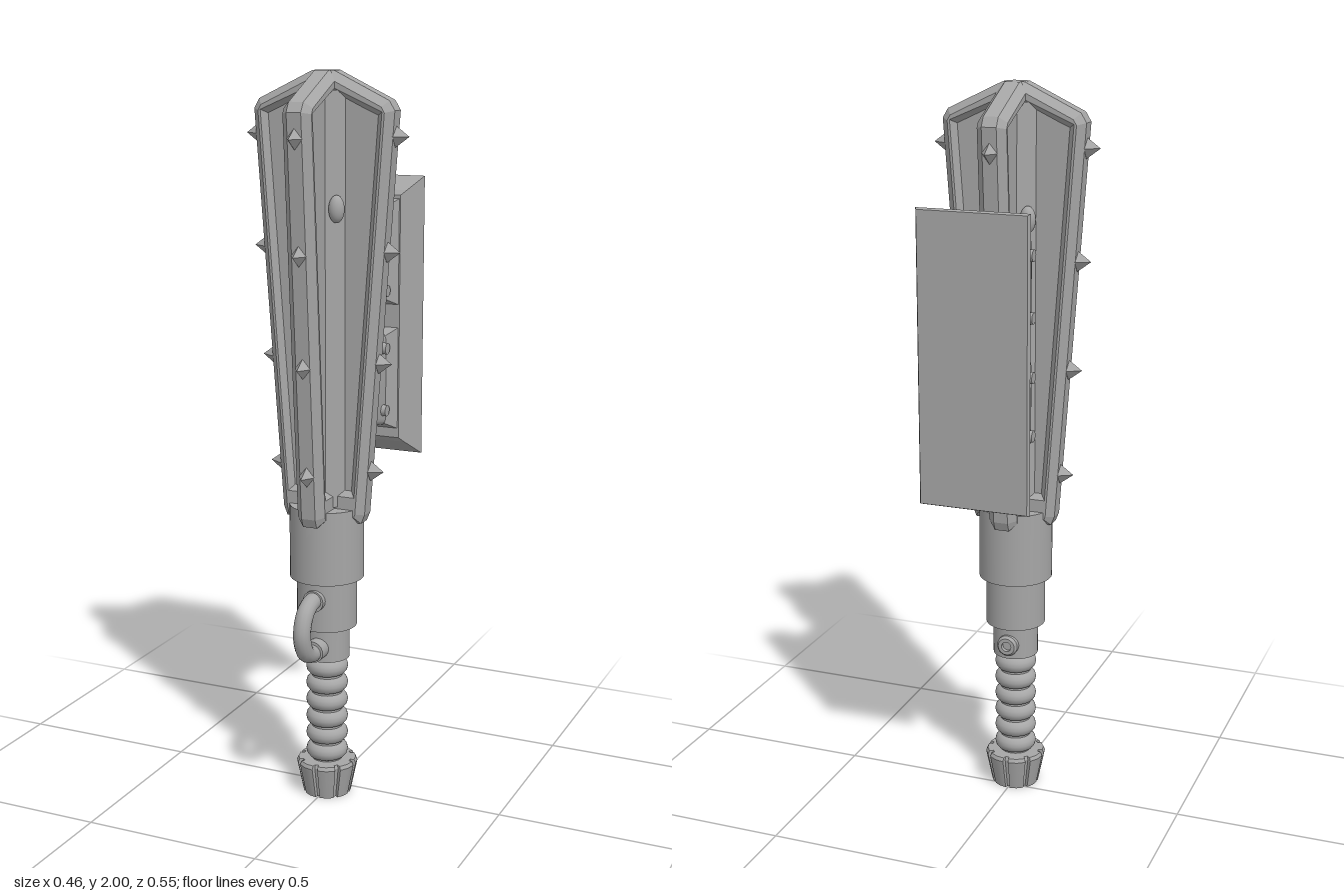
import * as THREE from 'three';
import { ConvexGeometry } from 'three/addons/geometries/ConvexGeometry.js';
import { toCreasedNormals } from 'three/addons/utils/BufferGeometryUtils.js';

const AXIS_Z = 0.043; // z of the shaft axis
const steel = new THREE.MeshStandardMaterial({ color: 0xa6a6a6 });
steel.name = 'steel grey';

function add(parent, name, geometry, x = 0, y = 0, z = 0) {
  const mesh = new THREE.Mesh(geometry, steel);
  mesh.name = name;
  mesh.position.set(x, y, z);
  parent.add(mesh);
  return mesh;
}

const points = (list) => list.map(([x, y]) => new THREE.Vector2(x, y));
const mirrored = (half) => [...half, ...half.slice().reverse().map(([x, y]) => [-x, y])];

// Cylinder between two heights
function drum(parent, name, r, y0, y1, rTop = r) {
  return add(parent, name, new THREE.CylinderGeometry(rTop, r, y1 - y0, 40), 0, (y0 + y1) / 2, 0);
}

// Solid spanned by rectangles [halfWidth, yLow, yHigh, z]
function hull(rects) {
  const pts = [];
  for (const [w, y0, y1, z] of rects)
    for (const x of [-w, w]) for (const y of [y0, y1]) pts.push(new THREE.Vector3(x, y, z));
  return new ConvexGeometry(pts);
}

// Outer radius of the flanges at height y
const flangeRadius = (y) => 0.12 + 0.072 * (y - 0.83);

function buildHead(shaft) {
  // Bevelled frame shared by two opposite flanges
  const frame = new THREE.Shape(points(mirrored([
    [0.11, 0.805], [0.12, 0.83], [0.198, 1.9], [0.183, 1.925], [0.03, 1.998],
  ])));
  const opening = [[0.05, 0.9], [0.079, 0.9], [0.15, 1.885], [0.05, 1.932]];
  for (const s of [1, -1])
    frame.holes.push(new THREE.Path(points(opening.map(([x, y]) => [s * x, y]))));
  const frameGeo = new THREE.ExtrudeGeometry(frame, {
    depth: 0.04, bevelEnabled: true, bevelThickness: 0.02, bevelSize: 0.02, bevelOffset: -0.02, bevelSegments: 1,
  }).translate(0, 0, -0.02);

  // Recessed panel inside the frame
  const panel = new THREE.Shape(points(mirrored([[0.1, 0.85], [0.17, 1.895], [0.03, 1.96]])));
  const panelGeo = new THREE.ExtrudeGeometry(panel, { depth: 0.05, bevelEnabled: false }).translate(0, 0, -0.025);

  for (const turn of [0, Math.PI / 2]) {
    add(shaft, 'flangeFrame', frameGeo).rotation.y = turn;
    add(shaft, 'flangePanel', panelGeo).rotation.y = turn;
  }

  // Square core seen as a chamfer between flanges
  add(shaft, 'headCore', new THREE.BoxGeometry(0.126, 1.1, 0.126), 0, 1.4, 0).rotation.y = Math.PI / 4;

  // Studs down the edge of every flange
  const spike = new THREE.OctahedronGeometry(1).scale(0.038, 0.028, 0.022);
  for (let i = 0; i < 4; i++) {
    const a = (i * Math.PI) / 2;
    for (const y of [0.95, 1.245, 1.54, 1.835]) {
      const r = flangeRadius(y);
      add(shaft, 'spike', spike, r * Math.cos(a), y, -r * Math.sin(a)).rotation.y = a;
    }
  }

  // Oval beads in the corners between flanges
  const bead = new THREE.SphereGeometry(1, 20, 14).scale(0.021, 0.036, 0.021);
  for (const sx of [1, -1]) for (const sz of [1, -1])
    add(shaft, 'bead', bead, sx * 0.051, sx === sz ? 1.65 : 1.325, sz * 0.051);
}

function buildHandle(shaft) {
  drum(shaft, 'upperSleeve', 0.102, 0.64, 0.845);
  drum(shaft, 'lowerSleeve', 0.083, 0.5, 0.64);
  drum(shaft, 'neck', 0.043, 0.08, 0.51);
  drum(shaft, 'handleCollar', 0.063, 0.405, 0.494);

  // Ribbed grip
  const ring = new THREE.TorusGeometry(0.034, 0.0245, 14, 36).rotateX(Math.PI / 2);
  for (let i = 0; i < 6; i++) add(shaft, 'gripRing', ring, 0, 0.126 + i * 0.05, 0);

  // Hose loop with end collars
  const path = new THREE.CatmullRomCurve3([
    [0.6 - 0.01, 0.05], [0.59, 0.11], [0.568, 0.145], [0.515, 0.163], [0.465, 0.145], [0.445, 0.11], [0.445, 0.03],
  ].map(([y, z]) => new THREE.Vector3(0, y, z)));
  add(shaft, 'hoseLoop', new THREE.TubeGeometry(path, 40, 0.024, 14));
  const collar = new THREE.CylinderGeometry(0.03, 0.03, 0.05, 20).rotateX(Math.PI / 2);
  add(shaft, 'hoseCollar', collar, 0, 0.59, 0.068);
  add(shaft, 'hoseCollar', collar, 0, 0.445, 0.07);

  // Button behind the collar
  const button = new THREE.LatheGeometry(
    points([[0, 0.066], [0.014, 0.066], [0.014, 0.078], [0.024, 0.078], [0.03, 0.07], [0.03, 0.03]]).reverse(), 24);
  add(shaft, 'rearButton', toCreasedNormals(button.rotateX(-Math.PI / 2), 0.5), 0, 0.447, 0);

  // Tapered, grooved pommel, open underneath
  const outline = [];
  const ribs = 8;
  for (let i = 0; i < ribs; i++) {
    const a = ((i + 0.5) * Math.PI * 2) / ribs;
    for (const [da, r] of [[-0.39, 0.073], [-0.32, 0.073], [-0.3, 0.085], [0, 0.086], [0.3, 0.085], [0.32, 0.073]])
      outline.push([r * Math.cos(a + da), r * Math.sin(a + da)]);
  }
  const gear = new THREE.Shape(points(outline));
  gear.holes.push(new THREE.Path().absarc(0, 0, 0.045, 0, Math.PI * 2, true));
  const pommel = new THREE.ExtrudeGeometry(gear, { depth: 0.1, steps: 10, bevelEnabled: false }).rotateX(-Math.PI / 2);
  const p = pommel.attributes.position;
  for (let i = 0; i < p.count; i++) {
    const y = p.getY(i);
    const k = y > 0.095 ? 0.94 : 0.78 + 2.4 * y;
    p.setX(i, p.getX(i) * k);
    p.setZ(i, p.getZ(i) * k);
  }
  add(shaft, 'pommel', toCreasedNormals(pommel, 0.4));
  drum(shaft, 'pommelPlug', 0.045, 0.025, 0.098);
}

function buildBracket(model) {
  // Backing plate with sloping sides
  add(model, 'backPlate', hull([
    [0.148, 0.934, 1.706, -0.277], [0.153, 0.93, 1.71, -0.268],
    [0.124, 0.972, 1.675, -0.21], [0.11, 0.985, 1.662, -0.199],
  ]));

  // Two bolted arms, with sides given as [z, y]
  const arms = [
    { side: [[-0.04, 1.375], [-0.21, 1.37], [-0.21, 1.645], [-0.04, 1.607]], flare: [1.37, 1.64],
      bolts: [[1.57, 1.585], [1.405, 1.405]] },
    { side: [[-0.04, 1.05], [-0.21, 1.015], [-0.21, 1.285], [-0.04, 1.285]], flare: [1.02, 1.285],
      bolts: [[1.245, 1.245], [1.085, 1.07]] },
  ];
  const bolt = new THREE.CylinderGeometry(0.016, 0.016, 0.186, 16).rotateZ(Math.PI / 2);
  for (const { side, flare: [y0, y1], bolts } of arms) {
    const shape = new THREE.Shape(points(side.map(([z, y]) => [-z, y])));
    const arm = new THREE.ExtrudeGeometry(shape, {
      depth: 0.12, bevelEnabled: true, bevelThickness: 0.02, bevelSize: 0.02, bevelOffset: -0.02, bevelSegments: 4,
    }).translate(0, 0, -0.06).rotateY(Math.PI / 2);
    add(model, 'bracketArm', toCreasedNormals(arm, 0.6));
    add(model, 'armFlare', hull([
      [0.078, y0 + 0.008, y1 - 0.008, -0.175], [0.086, y0, y1, -0.19], [0.11, y0 - 0.01, y1 + 0.015, -0.202],
    ]));
    for (const [front, rear] of bolts) {
      add(model, 'bolt', bolt, 0, front, -0.075);
      add(model, 'bolt', bolt, 0, rear, -0.157);
    }
  }
}

export function createModel() {
  const model = new THREE.Group();
  model.name = 'flangedMace';
  const shaft = new THREE.Group();
  shaft.name = 'mace';
  shaft.position.z = AXIS_Z;
  model.add(shaft);
  buildHead(shaft);
  buildHandle(shaft);
  buildBracket(model);
  return model;
}
